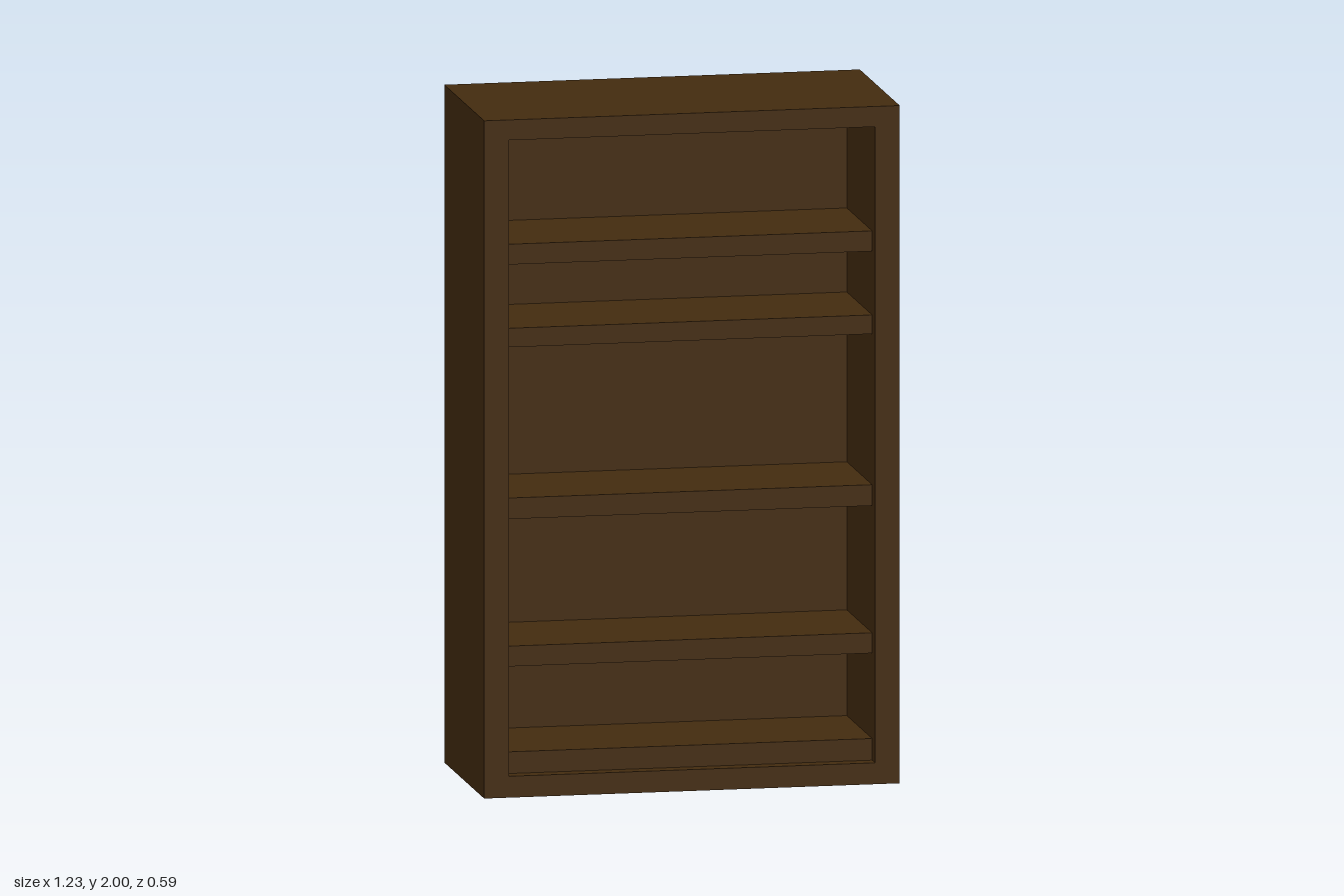
import * as THREE from 'three';

export function createModel() {
  const group = new THREE.Group();
  group.name = 'bookcase';

  const darkWood = new THREE.MeshStandardMaterial({ color: 0x432b0f });
  darkWood.name = 'darkWood';

  // Adds a board spanning the given limits on each axis
  const board = (name, [x0, x1], [y0, y1], [z0, z1]) => {
    const mesh = new THREE.Mesh(new THREE.BoxGeometry(x1 - x0, y1 - y0, z1 - z0), darkWood);
    mesh.position.set((x0 + x1) / 2, (y0 + y1) / 2, (z0 + z1) / 2);
    mesh.name = name;
    group.add(mesh);
  };

  const W = 0.615, H = 2, D = 0.293;              // outer half width, height, half depth
  const inX = 0.542, floorY = 0.063, ceilY = 1.94; // opening
  const backZ = -0.122, shelfZ = 0.25;             // inner back face, shelf front edge

  // Case: one closed frame with a rectangular opening, and a thick back
  const outline = new THREE.Shape([
    new THREE.Vector2(-W, 0), new THREE.Vector2(W, 0),
    new THREE.Vector2(W, H), new THREE.Vector2(-W, H),
  ]);
  outline.holes.push(new THREE.Path([
    new THREE.Vector2(-inX, floorY), new THREE.Vector2(-inX, ceilY),
    new THREE.Vector2(inX, ceilY), new THREE.Vector2(inX, floorY),
  ]));
  const frame = new THREE.Mesh(
    new THREE.ExtrudeGeometry(outline, { depth: 2 * D, bevelEnabled: false }), darkWood);
  frame.position.z = -D;
  frame.name = 'caseFrame';
  group.add(frame);
  board('backPanel', [-inX, inX], [floorY, ceilY], [-D, backZ]);

  // Shelves, set back slightly from the front
  const shelves = [[floorY, 0.127], [0.379, 0.439], [0.814, 0.876], [1.321, 1.377], [1.565, 1.625]];
  shelves.forEach((span, i) => board(`shelf${i + 1}`, [-inX, inX], span, [backZ, shelfZ]));

  return group;
}
